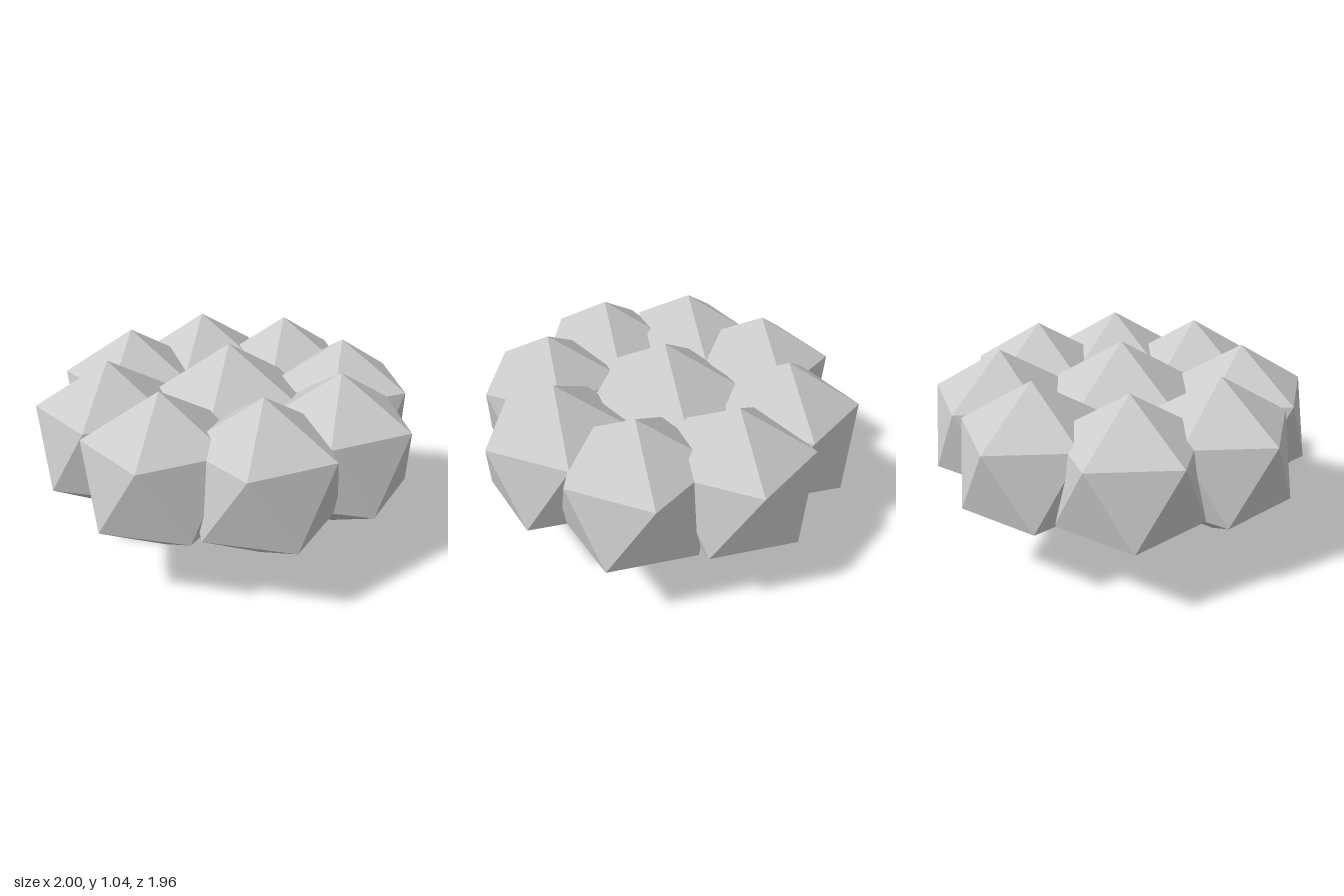
import * as THREE from 'three';

const CORE_RADIUS = 0.522;
const LOBE_RADIUS = 0.417;
const RING_RADIUS = 0.626;
const LOBE_HEIGHT = 0.595;
const LOBE_COUNT = 8;

// Icosahedron standing on a corner, with one corner of its upper ring towards +x
function uprightIcosahedron(radius) {
  const golden = (1 + Math.sqrt(5)) / 2;
  return new THREE.IcosahedronGeometry(radius, 0).rotateZ(-Math.atan(1 / golden));
}

export function createModel() {
  const group = new THREE.Group();
  group.name = 'facetedCluster';
  const material = new THREE.MeshStandardMaterial({ color: 0xcccccc, flatShading: true });

  // Large middle lobe, resting on its lowest corner
  const core = new THREE.Mesh(uprightIcosahedron(CORE_RADIUS), material);
  core.name = 'centreLobe';
  core.position.y = CORE_RADIUS;
  group.add(core);

  // Ring of smaller lobes, all facing the same way
  const lobeGeometry = uprightIcosahedron(LOBE_RADIUS);
  for (let i = 0; i < LOBE_COUNT; i++) {
    const angle = (i / LOBE_COUNT) * Math.PI * 2;
    const lobe = new THREE.Mesh(lobeGeometry, material);
    lobe.name = `outerLobe${i + 1}`;
    lobe.position.set(Math.cos(angle) * RING_RADIUS, LOBE_HEIGHT, Math.sin(angle) * RING_RADIUS);
    group.add(lobe);
  }
  return group;
}
